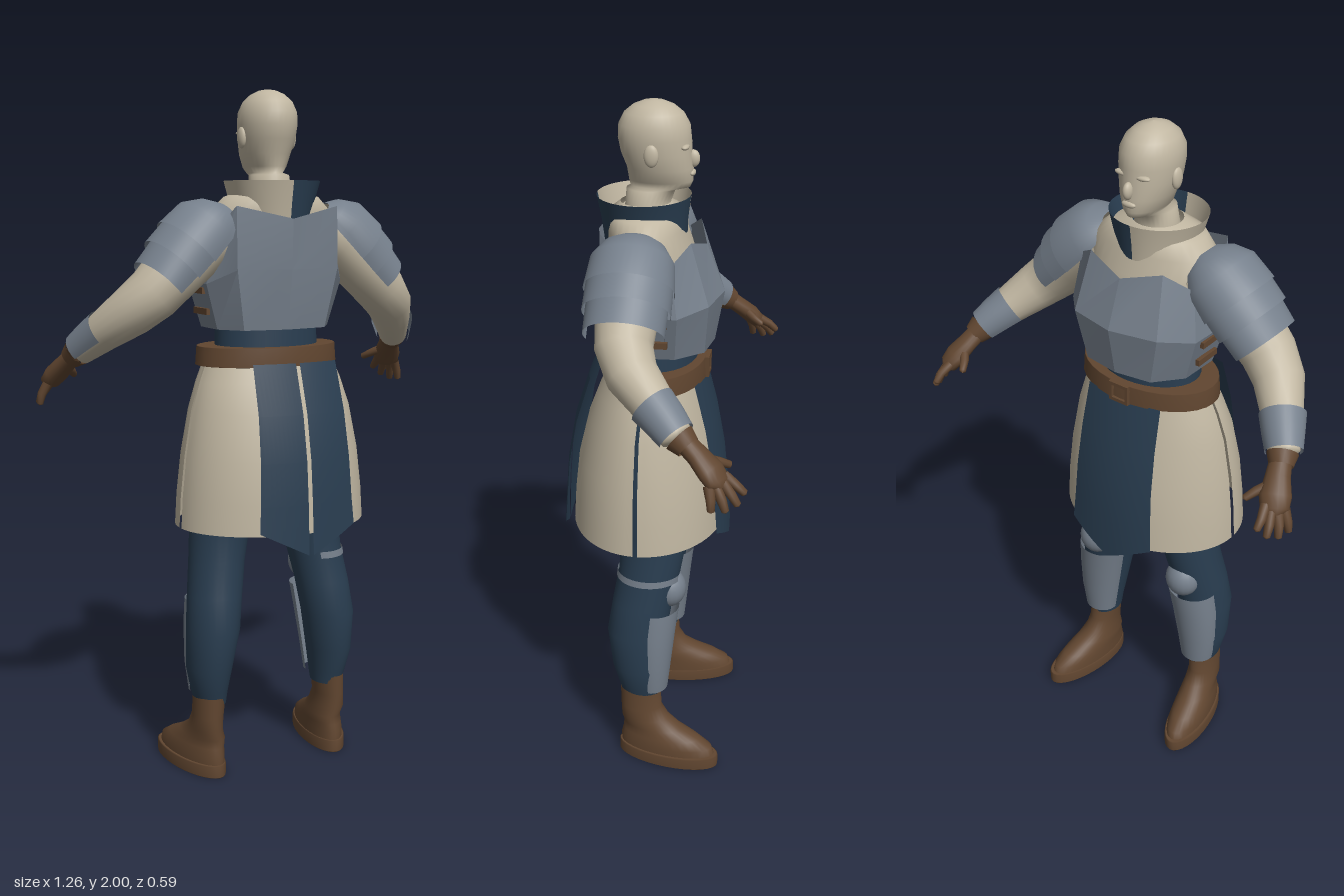
import * as THREE from 'three';
import { toCreasedNormals } from 'three/addons/utils/BufferGeometryUtils.js';

const V = (x, y, z) => new THREE.Vector3(x, y, z);
const TAU = Math.PI * 2;

const material = (name, color, side = THREE.DoubleSide) => {
  const m = new THREE.MeshStandardMaterial({ color, side });
  m.name = name;
  return m;
};

// Skin a list of rows of points; closed rows wrap round
function skin(rows, closed) {
  const n = rows[0].length, cols = closed ? n : n - 1, index = [];
  for (let i = 0; i < rows.length - 1; i++) {
    for (let j = 0; j < cols; j++) {
      const k = (j + 1) % n;
      const a = i * n + j, b = i * n + k, c = a + n, d = b + n;
      index.push(a, c, b, b, c, d);
    }
  }
  const g = new THREE.BufferGeometry().setFromPoints(rows.flat());
  g.setIndex(index);
  g.computeVertexNormals();
  return g;
}

function ring(c, u, v, ra, rb, a0, a1, seg) {
  const full = a1 - a0 > TAU - 1e-6, pts = [];
  for (let j = 0; j < (full ? seg : seg + 1); j++) {
    const t = a0 + (a1 - a0) * j / seg;
    pts.push(c.clone().addScaledVector(u, ra * Math.cos(t)).addScaledVector(v, rb * Math.sin(t)));
  }
  return pts;
}

// Level elliptical sections [y, cx, cz, rx, rz], listed upward
function stack(list, a0 = 0, a1 = TAU, seg = 32) {
  const rows = list.map(([y, x, z, rx, rz]) => ring(V(x, y, z), V(1, 0, 0), V(0, 0, 1), rx, rz, a0, a1, seg));
  return skin(rows, a1 - a0 > TAU - 1e-6);
}

// Sections [x, y, z, ra, rb] set square to the path they follow
function limb(list, a0 = 0, a1 = TAU, seg = 18) {
  const P = list.map(s => V(s[0], s[1], s[2]));
  const rows = list.map((s, i) => {
    const d = P[Math.min(i + 1, P.length - 1)].clone().sub(P[Math.max(i - 1, 0)]).normalize();
    const u = V(0, 1, 0).cross(d).normalize();
    const v = u.clone().cross(d);
    return ring(P[i], u, v, s[3], s[4] ?? s[3], a0, a1, seg);
  });
  return skin(rows, a1 - a0 > TAU - 1e-6);
}

const ball = (x, y, z, rx, ry, rz) =>
  new THREE.SphereGeometry(1, 20, 14).scale(rx, ry, rz).translate(x, y, z);
const box = (x, y, z, w, h, d) => new THREE.BoxGeometry(w, h, d).translate(x, y, z);

function mirrored(g) {
  const m = g.clone(), p = m.attributes.position, n = m.attributes.normal, ix = m.index;
  for (let i = 0; i < p.count; i++) { p.setX(i, -p.getX(i)); n.setX(i, -n.getX(i)); }
  for (let i = 0; i < ix.count; i += 3) {
    const t = ix.getX(i); ix.setX(i, ix.getX(i + 1)); ix.setX(i + 1, t);
  }
  return m;
}

// Hanging cloth panel: profile [y, z], slightly bowed, pointed at the centre
function panel(profile, x0, x1, bow) {
  const rows = profile.map(([y, z], i) => {
    const f = i / (profile.length - 1), pts = [];
    for (let j = 0; j <= 10; j++) {
      const x = (x0 + (x1 - x0) * j / 10) * (0.87 + 0.13 * f);
      pts.push(V(x, y + (i === profile.length - 1 ? Math.abs(x) * 0.5 : 0), z + bow * x * x));
    }
    return pts;
  });
  return skin(rows, false);
}

export function createModel() {
  const cream = material('cream cloth and skin', 0xc0b6a1);
  const steel = material('steel', 0x76808c);
  const navy = material('navy cloth', 0x293d50);
  const brown = material('brown leather', 0x614630);

  const model = new THREE.Group();
  model.name = 'armouredFigure';
  const add = (name, g, m) => {
    const mesh = new THREE.Mesh(g, m);
    mesh.name = name;
    model.add(mesh);
  };
  const pair = (name, g, m) => {
    add(name + 'Left', g, m);
    add(name + 'Right', mirrored(g), m);
  };

  // Head and neck, face toward -z
  add('head', stack([
    [1.6, 0, .045, .085, .08], [1.72, 0, .04, .06, .062], [1.762, 0, .03, .055, .068],
    [1.768, 0, .005, .04, .082], [1.785, 0, .003, .054, .088], [1.82, 0, .005, .068, .091],
    [1.86, 0, .015, .078, .097], [1.9, 0, .02, .082, .1], [1.935, 0, .021, .081, .097],
    [1.965, 0, .022, .068, .081], [1.985, 0, .022, .047, .056], [1.996, 0, .022, .024, .028], [2, 0, .022, .001, .001],
  ]), cream);
  add('nose', ball(0, 1.845, -.085, .013, .024, .018), cream);
  add('lips', ball(0, 1.807, -.083, .022, .009, .009), cream);
  pair('brow', ball(.03, 1.882, -.066, .026, .008, .012), cream);
  pair('ear', ball(.08, 1.865, .018, .011, .03, .02), cream);

  // High two-tone collar
  const collar = [[1.62, 0, .045, .11, .115], [1.68, 0, .048, .12, .12], [1.745, 0, .05, .14, .13]];
  add('collarNavy', stack(collar, -Math.PI / 2, Math.PI / 2), navy);
  add('collarCream', stack(collar, Math.PI / 2, Math.PI * 1.5), cream);

  // Padded coat under the armour
  add('coat', stack([
    [1.36, 0, .01, .155, .115], [1.5, 0, .01, .185, .125], [1.6, 0, .03, .2, .115],
    [1.66, 0, .04, .19, .105], [1.7, 0, .045, .145, .1], [1.725, 0, .045, .07, .07],
  ]), cream);

  // Breastplate and backplate: half sections from front centre to back centre
  const plates = [
    [[0, 1.33, -.152], [.11, 1.33, -.135], [.175, 1.33, -.06], [.18, 1.33, .06], [.13, 1.33, .13], [0, 1.33, .15]],
    [[0, 1.475, -.178], [.14, 1.475, -.148], [.212, 1.46, -.07], [.218, 1.46, .07], [.16, 1.5, .15], [0, 1.5, .172]],
    [[0, 1.61, -.125], [.12, 1.645, -.095], [.19, 1.6, -.05], [.195, 1.6, .07], [.16, 1.675, .145], [0, 1.64, .178]],
  ].map(half => {
    const pts = half.map(p => V(...p));
    const other = pts.slice(1, -1).reverse().map(p => V(-p.x, p.y, p.z));
    return [...pts, ...other];
  });
  add('cuirass', toCreasedNormals(skin(plates, true), 0.3), steel);
  for (const y of [1.38, 1.44]) pair('sideStrap', box(.2 + (y - 1.38) * .22, y, 0, .012, .018, .085), brown);

  // Waist, belt and buckle
  add('waist', stack([[1.2, 0, .015, .16, .12], [1.36, 0, .012, .155, .115]]), navy);
  add('belt', stack([
    [1.225, 0, .015, .15, .11], [1.225, 0, .015, .218, .146], [1.226, 0, .015, .22, .148],
    [1.279, 0, .015, .216, .144], [1.28, 0, .015, .214, .142], [1.28, 0, .015, .15, .11],
  ]), brown);
  for (const x of [-.028, .028]) add('buckleSide', box(x, 1.253, -.134, .01, .06, .012), brown);
  for (const y of [1.228, 1.278]) add('buckleBar', box(0, y, -.134, .066, .01, .012), brown);

  // Skirt in front and back shells, open at the hips
  const skirt = [
    [.76, 0, .037, .291, .228], [.85, 0, .037, .286, .222], [.97, 0, .037, .273, .208],
    [1.1, 0, .035, .25, .178], [1.18, 0, .03, .225, .152], [1.24, 0, .025, .2, .13],
  ];
  add('skirtBack', stack(skirt, .03, Math.PI - .03), cream);
  add('skirtFront', stack(skirt, Math.PI + .03, TAU - .03), cream);

  // Tabard panels: one in front, a split pair behind
  add('tabardFront', panel([[1.23, -.128], [1.1, -.162], [.97, -.186], [.85, -.198], [.7, -.206]], -.145, .145, 1.1), navy);
  pair('tabardBack', panel([[1.24, .205], [1.1, .25], [.97, .274], [.85, .284], [.7, .291]], .007, .152, -1), navy);

  // Legs
  pair('leg', stack([
    [.22, .2, .035, .045, .058], [.26, .203, .035, .053, .068], [.33, .205, .04, .066, .082],
    [.45, .195, .048, .078, .09], [.55, .182, .033, .08, .09], [.65, .165, .013, .082, .092],
    [.78, .145, 0, .09, .1], [.95, .115, .01, .11, .12], [1.12, .1, .015, .09, .1],
  ]), navy);
  pair('shinGuard', stack([
    [.25, .198, .005, .054, .05], [.34, .197, .005, .067, .06], [.45, .188, .003, .076, .07], [.53, .178, 0, .079, .077],
  ], Math.PI * .98, Math.PI * 2.02), steel);
  pair('kneeCap', ball(.17, .59, -.045, .055, .06, .052), steel);
  add('kneeBand', stack([[.63, .168, .015, .086, .097], [.65, .165, .013, .086, .097]], -1.2, 1.9), steel);

  // Boots, toes turned slightly out
  const turnOut = g => {
    const p = g.attributes.position;
    for (let i = 0; i < p.count; i++) p.setX(i, p.getX(i) - .14 * p.getZ(i) * (p.getY(i) < .12 ? 1 : 0));
    g.computeVertexNormals();
    return g;
  };
  pair('sole', turnOut(stack([
    [0, .217, -.052, .001, .001], [0, .217, -.052, .062, .157], [.002, .217, -.052, .064, .158],
    [.036, .217, -.052, .064, .158], [.038, .217, -.052, .06, .154], [.038, .217, -.052, .001, .001],
  ])), brown);
  pair('boot', turnOut(stack([
    [.03, .215, -.05, .058, .15], [.06, .215, -.045, .058, .145], [.085, .213, -.028, .054, .122],
    [.11, .21, -.002, .05, .094], [.14, .21, .022, .046, .074], [.18, .208, .035, .043, .063], [.245, .204, .038, .046, .062],
  ])), brown);

  // Sleeves
  pair('sleeve', limb([
    [.15, 1.61, .04, .08], [.22, 1.575, .045, .088], [.3, 1.505, .048, .085], [.37, 1.435, .045, .077],
    [.425, 1.385, .015, .07], [.475, 1.335, -.045, .058], [.53, 1.272, -.115, .043], [.533, 1.268, -.12, .02],
  ]), cream);

  // Three overlapping shoulder lames
  [
    [[.15, 1.66, .05, .05, .035], [.168, 1.642, .05, .085, .075], [.2, 1.61, .05, .113, .108], [.26, 1.55, .05, .122, .115]],
    [[.25, 1.56, .05, .116, .109], [.305, 1.505, .05, .118, .107]],
    [[.295, 1.515, .05, .109, .098], [.35, 1.46, .05, .108, .089]],
  ].forEach((s, i) => pair('shoulderLame' + (i + 1), limb(s, Math.PI - .3, TAU + .3, 24), steel));

  // Wrist guards and gloves
  pair('wristGuard', limb([[.478, 1.33, -.045, .064], [.505, 1.301, -.082, .058], [.53, 1.272, -.115, .051]], Math.PI - .5, TAU + .5), steel);
  pair('gloveCuff', limb([[.531, 1.27, -.122, .043], [.543, 1.25, -.147, .033]]), brown);
  pair('palm', limb([
    [.535, 1.262, -.135, .03, .027], [.55, 1.232, -.172, .034, .026], [.567, 1.2, -.207, .043, .028],
    [.58, 1.175, -.228, .038, .024], [.587, 1.163, -.237, .012, .01],
  ]), brown);
  const fingers = [
    [[.56, 1.187, -.24], [.569, 1.166, -.272], [.57, 1.142, -.298]],
    [[.575, 1.177, -.235], [.587, 1.148, -.262], [.592, 1.118, -.282]],
    [[.588, 1.168, -.222], [.603, 1.138, -.24], [.61, 1.106, -.252]],
    [[.596, 1.172, -.205], [.612, 1.14, -.213], [.619, 1.108, -.215]],
    [[.548, 1.222, -.19], [.518, 1.203, -.222], [.498, 1.186, -.253]],
  ];
  fingers.forEach(([a, b, c], i) => {
    const tip = V(...c).lerp(V(...b), .15).toArray();
    pair(i < 4 ? 'finger' + (i + 1) : 'thumb', limb([[...a, .015], [...b, .013], [...tip, .01], [...c, .001]], 0, TAU, 10), brown);
  });

  return model;
}
